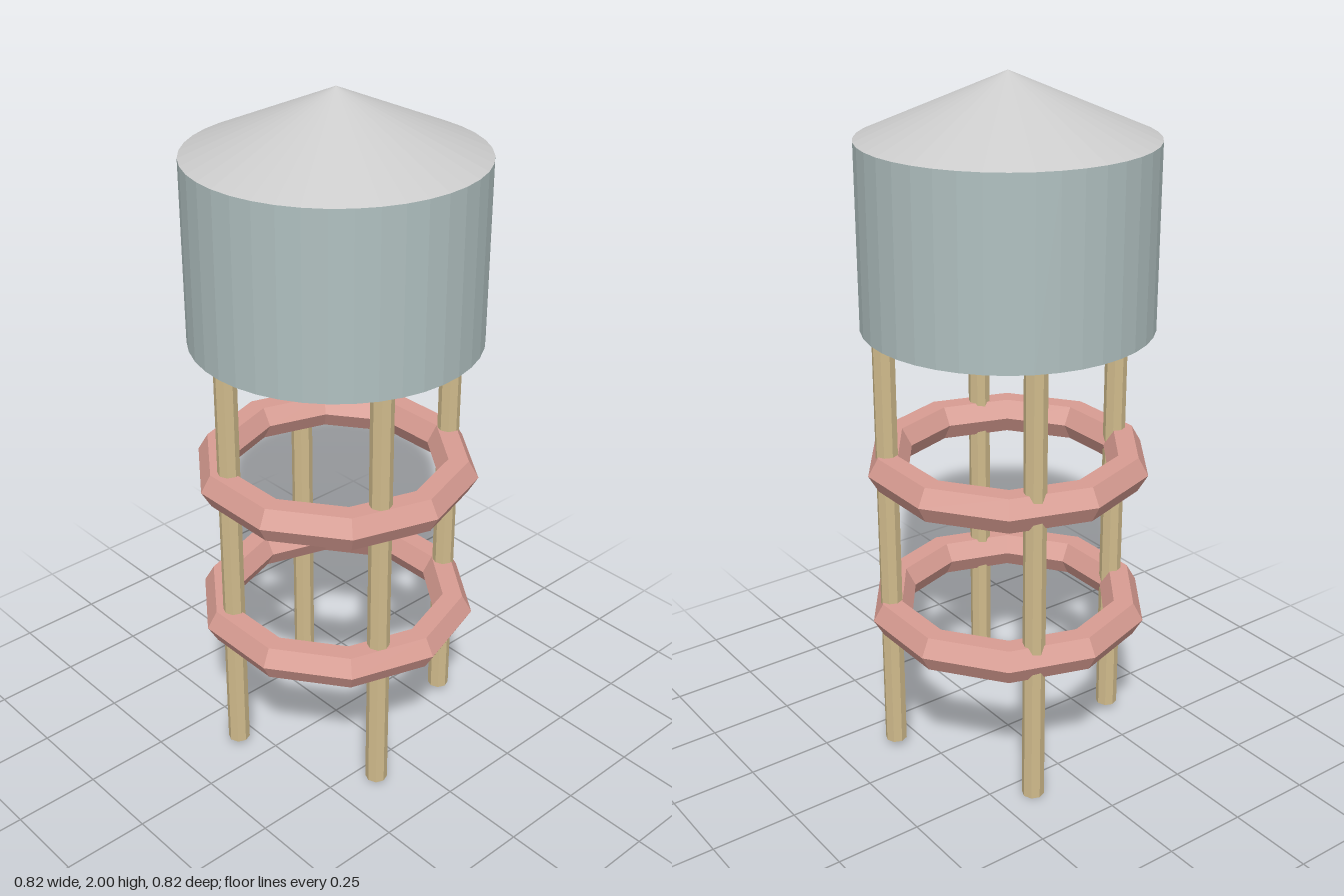
import * as THREE from 'three';

export function createModel() {
  const model = new THREE.Group();
  const paint = (color) => new THREE.MeshStandardMaterial({ color, flatShading: true });
  const tankPaint = paint(0xb0c0c0);
  const ringPaint = paint(0xd89c92);
  const legPaint = paint(0xd0bb8c);
  const roofPaint = paint(0xcccccc);

  const add = (name, geometry, material, x, y, z) => {
    const mesh = new THREE.Mesh(geometry, material);
    mesh.name = name;
    mesh.position.set(x, y, z);
    model.add(mesh);
    return mesh;
  };

  // Tank with a conical roof
  const radius = 0.408, tankBottom = 1.31, tankTop = 1.825;
  add('tank', new THREE.CylinderGeometry(radius, radius, tankTop - tankBottom, 40),
    tankPaint, 0, (tankBottom + tankTop) / 2, 0);
  add('roof', new THREE.ConeGeometry(radius, 2 - tankTop, 40),
    roofPaint, 0, (2 + tankTop) / 2, 0);

  // Slightly irregular legs: x, z and foot height
  const legs = [
    [-0.315, -0.143, 0],
    [0.31, 0.12, 0.01],
    [-0.095, 0.315, 0.02],
    [0.13, -0.325, 0.02],
  ];
  for (const [x, z, foot] of legs) {
    const top = tankBottom + 0.02;
    add('leg', new THREE.CylinderGeometry(0.032, 0.032, top - foot, 8),
      legPaint, x, (top + foot) / 2, z);
  }

  // Ten-sided bracing rings with a hexagonal section
  for (const y of [0.444, 0.905]) {
    const ring = add('braceRing', new THREE.TorusGeometry(0.352, 0.058, 6, 10), ringPaint, 0, y, 0);
    ring.rotation.x = -Math.PI / 2;
  }

  return model;
}
